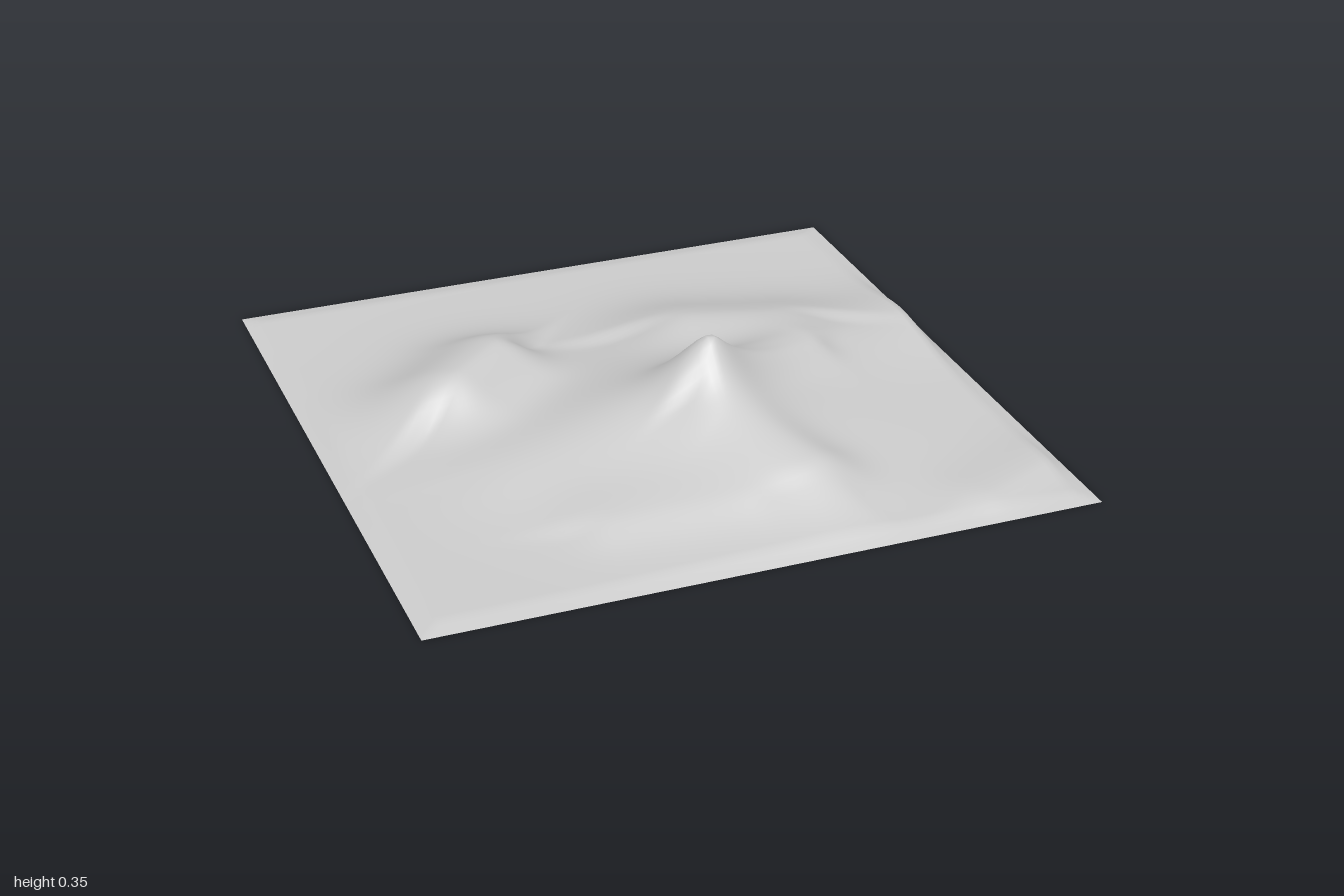
import * as THREE from 'three';

// Ridges, each from a (west) to b (east): [ax, az, height, bx, bz, height, back width, front width]
const RIDGES = [
  [0.09, 0.29, 0.08, 0.5, 0.06, 0.04, 0.15, 0.08],       // crest east of the summit
  [0.1, 0.45, 0.05, 0.25, 0.69, 0.07, 0.14, 0.16],       // front spur
  [-0.56, -0.12, 0.13, -0.4, -0.26, 0.13, 0.24, 0.15],   // second hill
  [0.25, -0.28, 0.08, 0.5, -0.22, 0.07, 0.27, 0.18],     // back shoulder
  [0.55, 0.0, 0.045, 1.0, -0.2, 0.055, 0.25, 0.22],      // long east ridge
  [-0.35, 0.68, 0.03, 0.02, 0.72, 0.03, 0.18, 0.1],      // front terrace
  [-0.5, 0.3, 0.03, -0.22, 0.3, 0.03, 0.22, 0.2],        // west shoulder
  [0.7, 0.88, 0.022, 0.95, 0.76, 0.022, 0.15, 0.08],     // corner knoll
];

function ridge(x, z, [ax, az, ha, bx, bz, hb, back, front]) {
  const ux = bx - ax, uz = bz - az, dx = x - ax, dz = z - az;
  const len = Math.hypot(ux, uz);
  const t = THREE.MathUtils.clamp((dx * ux + dz * uz) / (len * len), 0, 1);
  const d = Math.hypot(dx - t * ux, dz - t * uz);
  // blend gently from the back width to the steeper front width
  const side = THREE.MathUtils.smoothstep((ux * dz - uz * dx) / len, -0.04, 0.04);
  const w = THREE.MathUtils.lerp(back, front, side);
  return THREE.MathUtils.lerp(ha, hb, t) * Math.exp(-((d / w) ** 2));
}

function heightAt(x, z) {
  let h = 0.012;
  // broad dome
  h += 0.12 * Math.exp(-(((x - 0.08) / 0.52) ** 2) - ((z - 0.2) / 0.48) ** 2);
  // summit cone with a slightly rounded tip
  const d = Math.hypot(x - 0.09, z - 0.29, 0.025) - 0.025;
  h += 0.132 * Math.exp(-d / 0.16);
  for (const r of RIDGES) h += ridge(x, z, r);
  // fall to the ground at the square border
  const edge = 1 - Math.max(Math.abs(x), Math.abs(z));
  return h * Math.min(1, edge / 0.06);
}

export function createModel() {
  const group = new THREE.Group();
  group.name = 'mountainTerrain';

  const rock = new THREE.MeshStandardMaterial({ color: 0xcccccc, side: THREE.DoubleSide });
  rock.name = 'grey rock';

  // square sheet raised into hills
  const geometry = new THREE.PlaneGeometry(2, 2, 100, 100).rotateX(-Math.PI / 2);
  const p = geometry.attributes.position;
  for (let i = 0; i < p.count; i++) p.setY(i, Math.max(0, heightAt(p.getX(i), p.getZ(i))));
  geometry.computeVertexNormals();

  const terrain = new THREE.Mesh(geometry, rock);
  terrain.name = 'terrain';
  group.add(terrain);
  return group;
}
